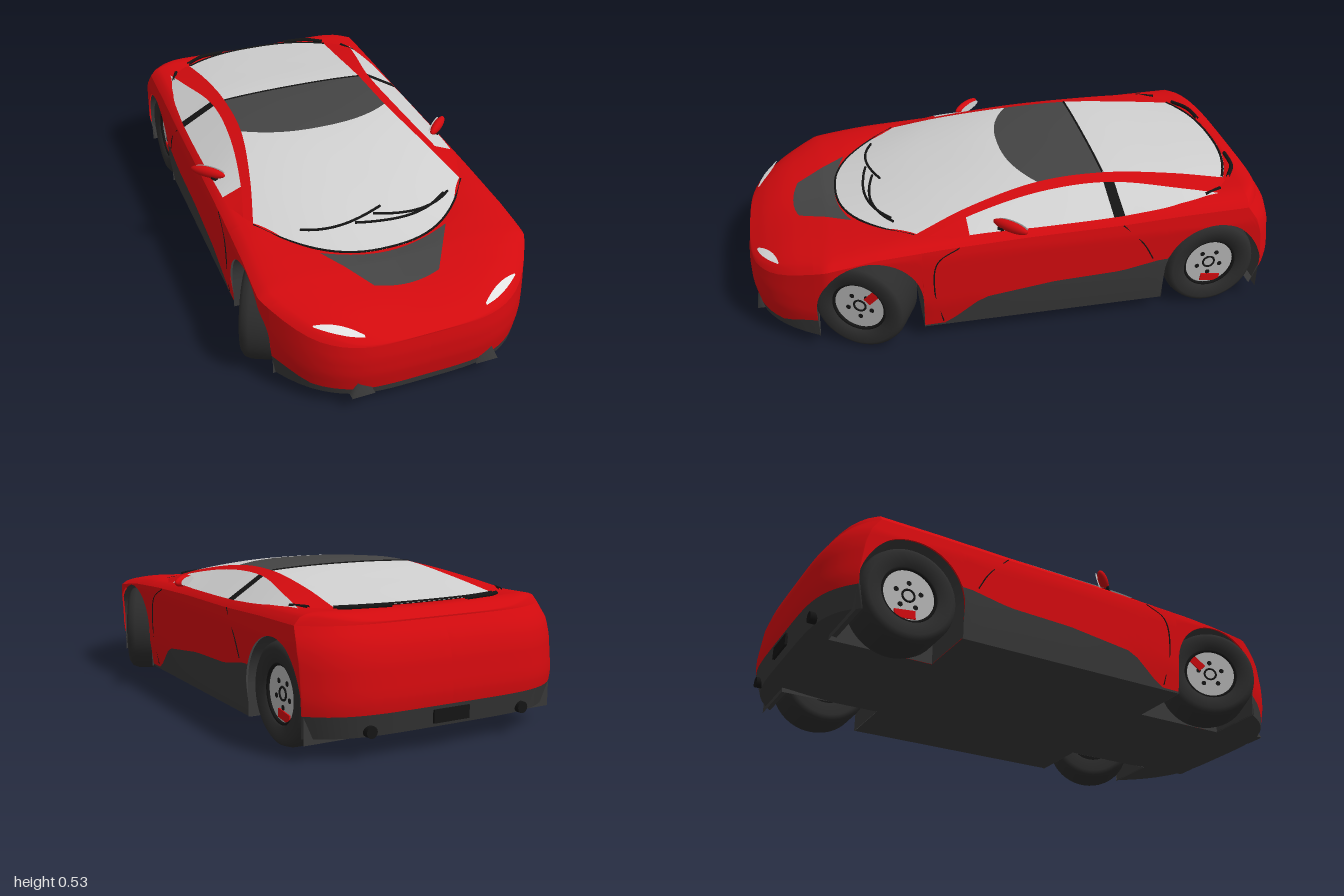
import * as THREE from 'three';

const paint = (name, color) => {
  const m = new THREE.MeshStandardMaterial({ color, side: THREE.DoubleSide });
  m.name = name;
  return m;
};
const V = (x, y, z) => new THREE.Vector3(x, y, z);

// Linear lookup in a table of [key, value] with rising keys
const at = (t, k) => {
  if (k <= t[0][0]) return t[0][1];
  for (let i = 1; i < t.length; i++) {
    const [a, va] = t[i - 1], [b, vb] = t[i];
    if (k <= b) return va + (vb - va) * (k - a) / (b - a);
  }
  return t[t.length - 1][1];
};
const clamp = (v) => Math.min(1, Math.max(0, v));

// Body rules: plan outline, shoulder height, hood and deck heights, arches
const R = 0.19, AY = 0.175, ARCHES = [0.575, -0.71];
const outline = (z) => z > 0.72 ? 0.5 * Math.max(0, (1 - z) / 0.28) ** 0.25
  : z < -0.9 ? 0.5 * Math.max(0, (1 + z) / 0.1) ** 0.2 : 0.5;
const WIDTH = [[0.05, 0.97], [0.16, 1], [0.36, 1], [0.44, 0.965]];
const NOSE = [[0.06, -0.015], [0.15, 0], [0.22, 0], [0.27, -0.008], [0.35, -0.02]];
const TAIL = [[0.06, 0.03], [0.15, 0.005], [0.19, 0], [0.31, 0.015], [0.37, 0.035], [0.42, 0.07]];
const SHOULDER = [[-1, 0.42], [-0.85, 0.42], [-0.6, 0.415], [-0.35, 0.405], [0, 0.4], [0.3, 0.39],
  [0.55, 0.375], [0.72, 0.35], [0.8, 0.325], [0.916, 0.285], [0.985, 0.27], [1, 0.265]];
const CENTRE = [[-0.93, 0.425], [-0.89, 0.447], [-0.86, 0.457], [-0.8, 0.42], [-0.6, 0.36], [0.3, 0.34],
  [0.45, 0.345], [0.6, 0.365], [0.7, 0.365], [0.8, 0.348], [0.86, 0.335], [0.93, 0.308], [1, 0.265]];
const CREST = [[-0.93, 0.425], [-0.89, 0.45], [-0.86, 0.458], [-0.6, 0.452], [-0.35, 0.443], [0, 0.433],
  [0.3, 0.415], [0.45, 0.408], [0.6, 0.395], [0.7, 0.383], [0.8, 0.36], [0.86, 0.343], [0.93, 0.31], [1, 0.265]];
const CRESTPOS = [[0.5, 0.82], [0.8, 0.62]];
const DARK = [[-1, 0.15], [-0.9, 0.15], [-0.52, 0.24], [-0.5, 0.24], [-0.35, 0.21], [-0.1, 0.2], [0.17, 0.165],
  [0.3, 0.06], [0.5, 0.056], [0.766, 0.13], [0.8, 0.125], [0.9, 0.085], [1, 0.085]];

const archOf = (z) => ARCHES.find((a) => Math.abs(z - a) <= R + 1e-6);
const floorY = (z) => at([[-0.95, 0.075], [-0.7, 0.055], [0.7, 0.05], [0.95, 0.06]], z);
const bottom = (z) => {
  const a = archOf(z);
  return a === undefined ? floorY(z) : AY + Math.sqrt(Math.max(0, R * R - (z - a) ** 2));
};
const wall = (z, y, side = 1) => V(side * outline(z) * at(WIDTH, y), y,
  z + clamp((z - 0.7) / 0.25) * at(NOSE, y) + clamp((-z - 0.8) / 0.1) * at(TAIL, y));
const topY = (z, u, yS) => {
  const c = at(CENTRE, z), k = Math.max(at(CREST, z), yS), p = at(CRESTPOS, z);
  u = Math.min(1, Math.abs(u));
  if (u < p) { const s = u / p; return c + (k - c) * s * s * (3 - 2 * s); }
  return yS + (k - yS) * Math.sqrt(Math.max(0, 1 - ((u - p) / (1 - p)) ** 2));
};

// Stations from nose to tail, dense at the ends and the arches
const stations = [];
for (let i = 0; i <= 16; i++) stations.push(1 - 0.28 * (0.955 * i / 16) ** 4);
const addArch = (a) => {
  stations.push(a + R + 0.001);
  for (let i = 0; i <= 24; i++) stations.push(a + R * Math.cos(Math.PI * i / 24));
  stations.push(a - R - 0.001);
};
addArch(ARCHES[0]);
for (let i = 0; i < 22; i++) stations.push(0.35 - i * 0.04);
addArch(ARCHES[1]);
for (let i = 0; i <= 16; i++) stations.push(-1 + 0.1 * (0.99 * (1 - i / 16)) ** 5);
const loop = [...stations.map((z) => [z, 1]), ...stations.slice().reverse().map((z) => [z, -1])];

export function createModel() {
  const car = new THREE.Group();
  car.name = 'sportsCar';
  const red = paint('red paint', 0xd20a0e), glass = paint('pale glass', 0xd0d0d0),
    trim = paint('dark trim', 0x383838), roofGrey = paint('roof grey', 0x444444),
    rubber = paint('tyre rubber', 0x2c2c2c), black = paint('black detail', 0x141414),
    silver = paint('silver rim', 0xb4b4b4), lamp = paint('lamp white', 0xe2e2e2);

  const add = (name, geo, mat, parent = car) => {
    const m = new THREE.Mesh(geo, mat);
    m.name = name;
    parent.add(m);
    return m;
  };
  // Sheet of nu by nv cells from a point rule
  const sheet = (name, mat, nu, nv, fn) => {
    const pos = [], idx = [];
    for (let i = 0; i <= nu; i++) for (let j = 0; j <= nv; j++) {
      pos.push(...fn(i / nu, j / nv, i).toArray());
      if (i < nu && j < nv) {
        const a = i * (nv + 1) + j, b = a + nv + 1;
        idx.push(a, a + 1, b, b, a + 1, b + 1);
      }
    }
    const g = new THREE.BufferGeometry();
    g.setAttribute('position', new THREE.Float32BufferAttribute(pos, 3));
    g.setIndex(idx);
    g.computeVertexNormals();
    return add(name, g, mat);
  };
  const line = (name, mat, pts, r = 0.003) =>
    add(name, new THREE.TubeGeometry(new THREE.CatmullRomCurve3(pts), 32, r, 5), mat);

  // Body sides with both bumpers, dark lower band, hood and deck, floor
  const middle = (z) => Math.max(bottom(z), at(DARK, z));
  const nLoop = loop.length - 1, nHalf = stations.length - 1;
  sheet('bodySides', red, nLoop, 10, (u, v, i) => {
    const [z, s] = loop[i], m = middle(z);
    return wall(z, m + (at(SHOULDER, z) - m) * v, s);
  });
  sheet('lowerTrim', trim, nLoop, 2, (u, v, i) => {
    const [z, s] = loop[i], b = bottom(z);
    return wall(z, b + (middle(z) - b) * v, s);
  });
  sheet('hoodAndDeck', red, nHalf, 48, (u, v, i) => {
    const yS = at(SHOULDER, stations[i]), e = wall(stations[i], yS), k = 2 * v - 1;
    return V(e.x * k, topY(e.z, k, yS), e.z);
  });
  sheet('floor', trim, nHalf, 4, (u, v, i) => {
    const z = stations[i], e = wall(z, floorY(z));
    return V((2 * v - 1) * (archOf(z) === undefined ? e.x : 0.25), e.y, e.z);
  });

  // Wheel wells
  for (const s of [1, -1]) for (const a of ARCHES) {
    const rim = (u) => {
      const t = Math.PI * clamp((u - 0.1) / 0.8);
      return [a + R * Math.cos(t), u < 0.05 || u > 0.95 ? floorY(a) : AY + R * Math.sin(t)];
    };
    sheet('wheelWell', trim, 40, 1, (u, v) => {
      const [z, y] = rim(u);
      return V(s * (0.25 + v * (outline(z) * 0.985 - 0.25)), y, z);
    });
    sheet('wellInnerWall', trim, 40, 1, (u, v) => {
      const [z, y] = rim(u);
      return V(s * 0.25, floorY(a) + (y - floorY(a)) * v, z);
    });
  }

  // Cabin: centre line C, glass edge E, pillar outer edge F, belt G
  const curve = (...p) => new THREE.CatmullRomCurve3(p.map((q) => V(...q)));
  const C = curve([0, 0.382, 0.66], [0, 0.465, 0.33], [0, 0.518, 0.02], [0, 0.527, -0.32], [0, 0.497, -0.6], [0, 0.462, -0.86]);
  const E = curve([0.41, 0.408, 0.4], [0.355, 0.465, 0.2], [0.303, 0.511, -0.07], [0.295, 0.518, -0.32], [0.303, 0.49, -0.58], [0.32, 0.456, -0.79]);
  const F = curve([0.44, 0.402, 0.38], [0.392, 0.452, 0.2], [0.35, 0.497, -0.07], [0.345, 0.505, -0.33], [0.395, 0.475, -0.6], [0.43, 0.445, -0.79]);
  const G = curve([0.455, 0.395, 0.36], [0.465, 0.42, 0.2], [0.47, 0.425, -0.07], [0.468, 0.43, -0.34], [0.455, 0.44, -0.62], [0.435, 0.435, -0.79]);
  const canopy = (t, u) => {
    const c = C.getPoint(t), e = E.getPoint(t), w = Math.abs(u) ** 2.4;
    return V(e.x * u, c.y + (e.y - c.y) * w, c.z + (e.z - c.z) * w);
  };
  const between = (a, b, s) => (t, v) => {
    const p = a.getPoint(t).lerp(b.getPoint(t), v);
    p.x *= s;
    return p;
  };
  for (const [name, mat, t0, t1] of [['windshield', glass, 0, 0.4], ['roofPanel', roofGrey, 0.4, 0.6], ['rearGlass', glass, 0.6, 1]])
    sheet(name, mat, 20, 28, (u, v) => canopy(t0 + (t1 - t0) * u, 2 * v - 1));
  const across = (t) => Array.from({ length: 17 }, (_, i) => canopy(t, i / 8 - 1));
  line('windshieldSeal', black, across(0.002), 0.004);
  line('roofSeam', black, across(0.6), 0.004);
  line('rearGlassSeal', black, across(0.995), 0.005);
  for (const s of [1, -1]) {
    sheet('roofPillar', red, 50, 3, between(E, F, s));
    for (const [name, mat, t0, t1] of [['mirrorCorner', red, 0, 0.19], ['doorGlass', glass, 0.19, 0.585],
      ['centrePillar', black, 0.585, 0.615], ['quarterGlass', glass, 0.615, 0.95], ['rearCorner', red, 0.95, 1]])
      sheet(name, mat, 20, 3, (u, v) => between(F, G, s)(t0 + (t1 - t0) * u, v));

    // Door seams
    line('doorFrontSeam', black, [[0.25, 0.39], [0.33, 0.34], [0.345, 0.22], [0.315, 0.07]].map(([z, y]) => wall(z, y, s)), 0.0025);
    line('doorRearSeam', black, [[-0.35, 0.405], [-0.43, 0.32], [-0.47, 0.25]].map(([z, y]) => wall(z, y, s)), 0.0025);

    // Slim headlights on the nose
    sheet('headlight', lamp, 12, 2, (u, v) => {
      const x = 0.22 + 0.15 * u;
      const z = 0.955 - 0.075 * u + (v - 0.5) * 0.03 * Math.sin(Math.PI * (0.08 + 0.87 * u));
      return V(s * x, topY(z, x / outline(z), at(SHOULDER, z)) + 0.004, z + 0.003);
    });

    // Front bumper fins
    const fin = add('bumperFin', new THREE.CylinderGeometry(0.022, 0.058, 0.06, 4, 1, false, Math.PI / 4), trim);
    fin.scale.z = 0.5;
    fin.position.set(s * 0.23, 0.093, 0.967);

    // Deck vents beside the rear glass
    line('deckVent', black, [V(s * 0.15, 0.461, -0.862), V(s * 0.25, 0.461, -0.85), V(s * 0.32, 0.458, -0.81)], 0.008);
    line('sideVent', black, [V(s * 0.39, 0.457, -0.75), V(s * 0.42, 0.455, -0.68)], 0.007);

    // Door mirrors
    const mirror = new THREE.Group();
    mirror.name = 'doorMirror';
    mirror.position.set(s * 0.478, 0.446, 0.065);
    mirror.rotation.y = s * 0.78;
    car.add(mirror);
    add('mirrorShell', new THREE.SphereGeometry(1, 20, 12).scale(0.073, 0.021, 0.018), red, mirror);
    add('mirrorGlass', new THREE.CircleGeometry(1, 24).scale(0.062, 0.016, 1).rotateY(Math.PI).translate(0, 0, -0.018), glass, mirror);
    line('mirrorArm', black, [V(s * 0.44, 0.415, 0.12), V(s * 0.455, 0.425, 0.1), V(s * 0.47, 0.44, 0.08)], 0.01);

    // Exhaust tips
    add('exhaustTip', new THREE.CylinderGeometry(0.02, 0.02, 0.05, 16).rotateX(Math.PI / 2), black).position.set(s * 0.3, 0.095, -0.965);
  }

  // Hood panel and rear plate recess
  sheet('hoodPanel', roofGrey, 16, 24, (u, v) => {
    const k = 2 * v - 1, x = k * (0.24 - 0.12 * u);
    const z = 0.66 + 0.16 * u - 0.05 * k * k * (1 - 0.6 * u);
    return V(x, topY(z, x / outline(z), at(SHOULDER, z)) + 0.004, z);
  });
  add('plateRecess', new THREE.BoxGeometry(0.14, 0.045, 0.009), black).position.set(0, 0.115, -0.992);

  // Wipers lying on the windshield
  for (const [u0, u1, t0, t1] of [[-0.68, 0.1, 0.045, 0.105], [-0.2, 0.75, 0.075, 0.045], [0.0, 0.8, 0.09, 0.035]])
    line('wiper', black, Array.from({ length: 9 }, (_, i) =>
      canopy(t0 + (t1 - t0) * i / 8, u0 + (u1 - u0) * i / 8).add(V(0, 0.008, 0))), 0.005);

  // Wheels: tyre, rim, studs and brake caliper; the front pair is steered
  const tyre = new THREE.LatheGeometry([[0.098, -0.08], [0.15, -0.09], [0.167, -0.078], [0.175, -0.055], [0.175, 0.055],
    [0.167, 0.078], [0.15, 0.09], [0.105, 0.084], [0.098, 0.06]].map(([x, y]) => new THREE.Vector2(x, y)), 48);
  for (const s of [1, -1]) for (const front of [true, false]) {
    const wheel = new THREE.Group();
    wheel.name = front ? 'frontWheel' : 'rearWheel';
    wheel.position.set(s * (front ? 0.415 : 0.395), 0.175, front ? 0.585 : -0.71);
    if (front) wheel.rotation.y = -0.45;
    car.add(wheel);
    const spin = new THREE.Group();
    spin.name = 'wheelParts';
    spin.rotation.z = -s * Math.PI / 2;
    wheel.add(spin);
    add('tyre', tyre, rubber, spin);
    add('rimDisc', new THREE.CylinderGeometry(0.098, 0.098, 0.03, 40), silver, spin).position.y = 0.05;
    add('innerHub', new THREE.CylinderGeometry(0.098, 0.098, 0.03, 40), black, spin).position.y = -0.05;
    add('rimRing', new THREE.TorusGeometry(0.098, 0.006, 8, 40).rotateX(Math.PI / 2), black, spin).position.y = 0.07;
    add('hubRing', new THREE.TorusGeometry(0.022, 0.004, 6, 24).rotateX(Math.PI / 2), black, spin).position.y = 0.066;
    for (let i = 0; i < 5; i++) {
      const a = i * Math.PI * 0.4;
      const hole = add('rimHole', new THREE.CylinderGeometry(0.009, 0.009, 0.006, 10), black, spin);
      hole.position.set(0.047 * Math.cos(a), 0.064, 0.047 * Math.sin(a));
    }
    const caliper = add('brakeCaliper', new THREE.BoxGeometry(0.008, 0.075, 0.03), red, wheel);
    caliper.position.set(s * 0.066, front ? 0.05 : -0.072, front ? -0.055 : -0.01);
    caliper.rotation.x = front ? -0.75 : 1.45;
  }
  return car;
}
